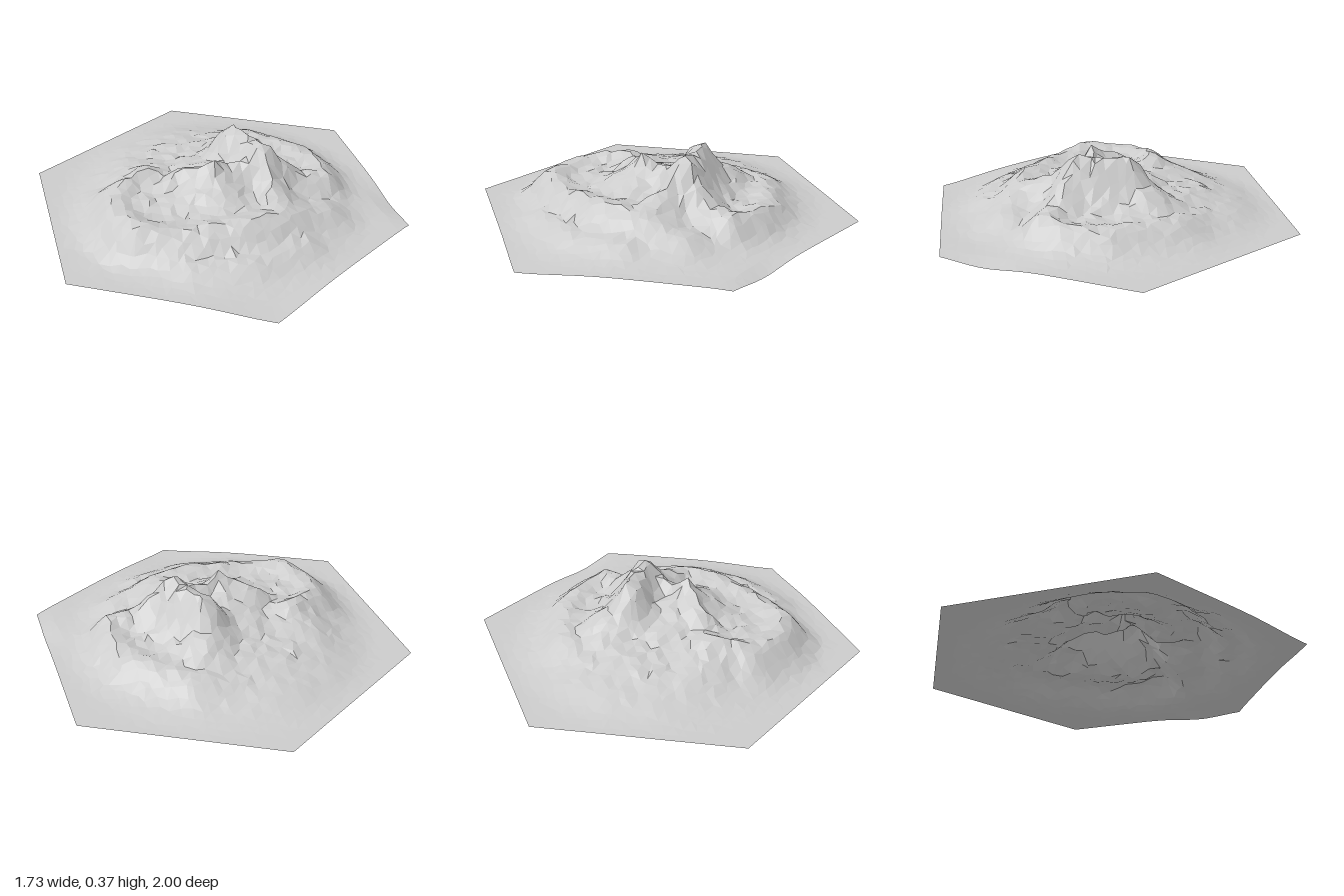
import * as THREE from 'three';

// Ridge lines: falloff width to the back and to the front, then [x, z, height] along the crest
const RIDGES = [
  // main summit
  [0.12, 0.12, [[0.16, -0.26, 0.24], [0.12, -0.14, 0.37], [0.17, -0.05, 0.36], [0.22, 0.09, 0.37]]],
  // curved crest running west from the summit, steep to the front
  [0.1, 0.06, [[0.22, 0.1, 0.37], [0.07, 0.11, 0.28], [-0.04, 0.12, 0.33], [-0.2, 0.03, 0.26],
    [-0.27, -0.05, 0.18], [-0.36, -0.1, 0.225], [-0.52, 0, 0.19]]],
  // outer rim around the west and front
  [0.12, 0.09, [[-0.52, 0, 0.19], [-0.55, 0.18, 0.18], [-0.49, 0.34, 0.2], [-0.33, 0.42, 0.17],
    [0.03, 0.46, 0.2], [0.22, 0.41, 0.19], [0.42, 0.37, 0.13]]],
  // front spur
  [0.1, 0.1, [[0.22, 0.12, 0.28], [0.22, 0.41, 0.19]]],
  // hollow floor behind the front rim
  [0.14, 0.14, [[-0.42, 0.1, 0.16], [0, 0.3, 0.17]]],
  // low shelf at the foot of the front rim
  [0.07, 0.08, [[-0.3, 0.56, 0.09], [0, 0.63, 0.1], [0.28, 0.56, 0.1]]],
  // east ridge and back rim
  [0.09, 0.08, [[0.22, 0.09, 0.37], [0.42, 0.12, 0.19], [0.54, 0.13, 0.18], [0.57, 0, 0.155],
    [0.52, -0.2, 0.15], [0.28, -0.46, 0.145], [0.1, -0.48, 0.12]]],
  // gentle back slopes
  [0.18, 0.18, [[-0.04, 0.11, 0.28], [-0.12, -0.3, 0.14], [-0.1, -0.5, 0.1]]],
  [0.14, 0.14, [[-0.36, -0.1, 0.2], [-0.3, -0.45, 0.09]]],
];

// Repeatable value in -1..1 for a lattice point
function hash(i, j) {
  const s = Math.sin(i * 127.1 + j * 311.7) * 43758.5453;
  return (s - Math.floor(s)) * 2 - 1;
}

// Offset from a ridge segment and the crest height at the nearest point
function nearest(x, z, a, b) {
  const dx = b[0] - a[0], dz = b[1] - a[1];
  const t = THREE.MathUtils.clamp(((x - a[0]) * dx + (z - a[1]) * dz) / (dx * dx + dz * dz), 0, 1);
  return { ox: x - a[0] - dx * t, oz: z - a[1] - dz * t, h: a[2] + (b[2] - a[2]) * t };
}

function heightAt(x, z) {
  const mass = 1 - THREE.MathUtils.smoothstep(Math.hypot(x, z * 0.97), 0.32, 0.83);
  const apron = 0.03 + 0.11 * mass;
  let y = apron;
  for (const [back, front, pts] of RIDGES) {
    for (let i = 0; i < pts.length - 1; i++) {
      const { ox, oz, h } = nearest(x, z, pts[i], pts[i + 1]);
      const d2 = (ox / back) ** 2 + (oz / (oz > 0 ? front : back)) ** 2;
      y = Math.max(y, apron + (h - apron) * Math.exp(-d2));
    }
  }
  // sagging border at the front corner and the east edge
  const sag = 0.025 * Math.exp(-(((z - 1) / 0.25) ** 2) - (x / 0.3) ** 2)
    + 0.022 * Math.exp(-(((x - 0.87) / 0.06) ** 2) - ((z - 0.28) / 0.17) ** 2);
  return { y: y - sag, mass };
}

// Hexagonal sheet of jittered triangles
function terrainGeometry(n) {
  const positions = [], index = [], ids = new Map();
  const key = (q, r) => q + ',' + r;
  for (let q = -n; q <= n; q++) {
    for (let r = -n; r <= n; r++) {
      const ring = Math.max(Math.abs(q), Math.abs(r), Math.abs(q + r));
      if (ring > n) continue;
      const jitter = ring < n ? 0.3 / n : 0;
      const x = (q * Math.sqrt(3)) / 2 / n + hash(q, r) * jitter;
      const z = (r + q / 2) / n + hash(r + 50, q - 20) * jitter;
      const { y, mass } = heightAt(x, z);
      ids.set(key(q, r), positions.length / 3);
      positions.push(x, y + 0.009 * mass * hash(q + 9, r + 77), z);
    }
  }
  const addFace = (...corners) => {
    const f = corners.map(([q, r]) => ids.get(key(q, r)));
    if (f.every((id) => id !== undefined)) index.push(...f);
  };
  for (let q = -n; q <= n; q++) {
    for (let r = -n; r <= n; r++) {
      addFace([q, r], [q, r + 1], [q + 1, r]);
      addFace([q + 1, r], [q, r + 1], [q + 1, r + 1]);
    }
  }
  const g = new THREE.BufferGeometry();
  g.setAttribute('position', new THREE.Float32BufferAttribute(positions, 3));
  g.setIndex(index);
  const flat = g.toNonIndexed();
  flat.computeVertexNormals();
  return flat;
}

export function createModel() {
  const group = new THREE.Group();
  group.name = 'mountainTile';
  const material = new THREE.MeshStandardMaterial({ color: 0xcccccc, flatShading: true, side: THREE.DoubleSide });
  const terrain = new THREE.Mesh(terrainGeometry(20), material);
  terrain.name = 'mountainTerrain';
  // rest the lowest point on the ground
  terrain.geometry.computeBoundingBox();
  terrain.position.y = -terrain.geometry.boundingBox.min.y;
  group.add(terrain);
  return group;
}
